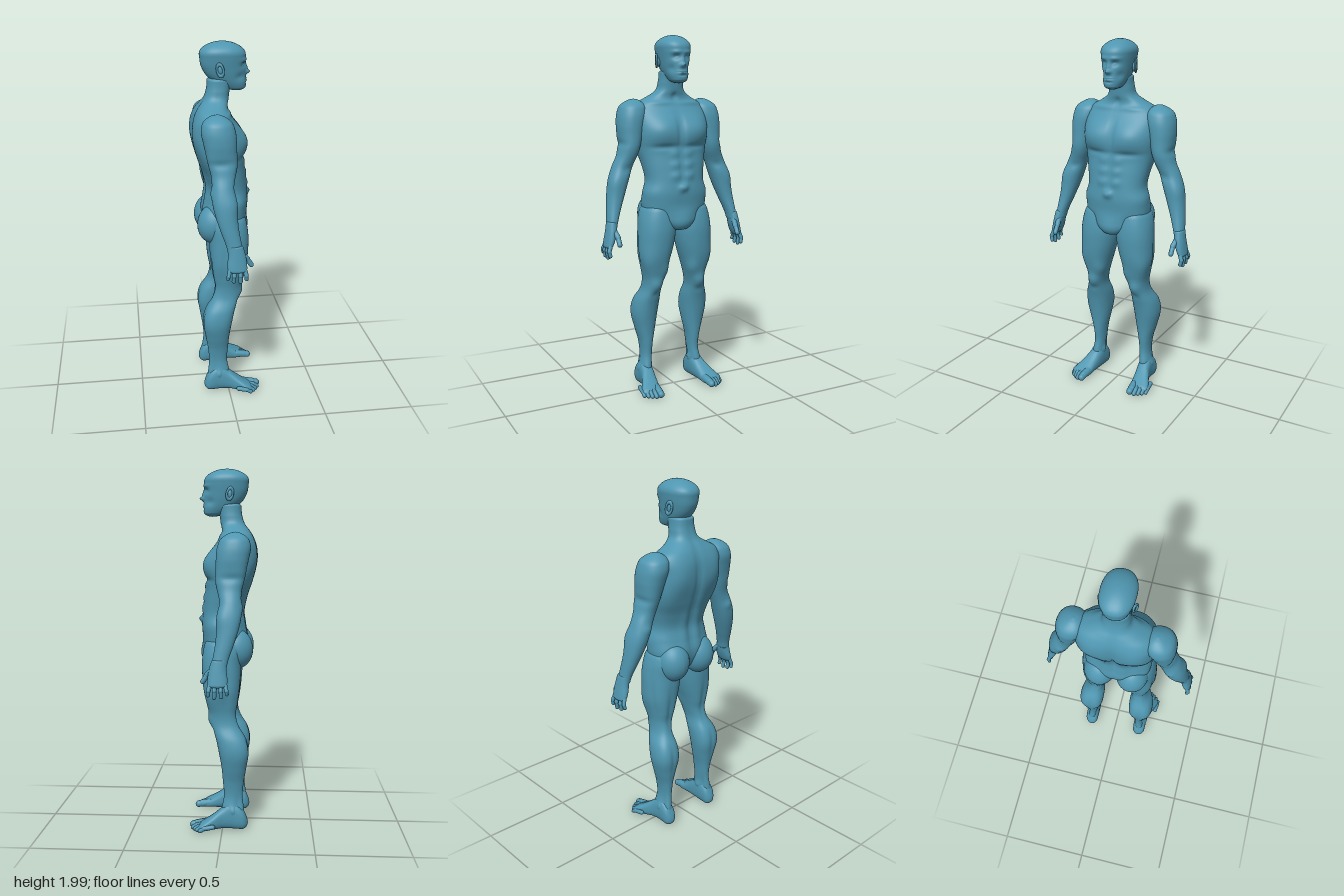
import * as THREE from 'three';
import { mergeGeometries } from 'three/addons/utils/BufferGeometryUtils.js';

const skin = new THREE.MeshStandardMaterial({ color: 0x4f96b0 });
skin.name = 'blue clay';

// Smooth loft. Each row is [along, aMin, aMax, bMin, bMax].
// axis 'y': a = x, b = z.  axis 'x': a = z, b = y.  caps = rounding length at both ends.
function loft(rows, { axis = 'y', n = 2.2, caps = [0.02, 0.02], segs = 56, steps = 70 } = {}) {
  const spline = new THREE.CubicInterpolant(rows.map(r => r[0]), rows.flatMap(r => r.slice(1)), 4);
  const t0 = rows[0][0], t1 = rows[rows.length - 1][0];
  const pos = [], idx = [];
  const sp = v => Math.sign(v) * Math.abs(v) ** (2 / n);
  const round = (d, r) => (d >= r ? 1 : Math.sqrt(Math.max(1e-6, 1 - (1 - d / r) ** 2)));
  for (let i = 0; i <= steps; i++) {
    const u = i / steps;
    const t = t0 + (t1 - t0) * (0.5 * u + 0.25 * (1 - Math.cos(Math.PI * u)));
    const [a0, a1, b0, b1] = spline.evaluate(t);
    const s = round(t - t0, caps[0]) * round(t1 - t, caps[1]);
    for (let j = 0; j < segs; j++) {
      const q = (j / segs) * Math.PI * 2;
      const a = (a0 + a1) / 2 + ((a1 - a0) / 2) * s * sp(Math.cos(q));
      const b = (b0 + b1) / 2 + ((b1 - b0) / 2) * s * sp(Math.sin(q));
      if (axis === 'y') pos.push(a, t, b); else pos.push(t, b, a);
      if (i < steps) {
        const p = i * segs + j, r = i * segs + (j + 1) % segs;
        idx.push(p, p + segs, r, r, p + segs, r + segs);
      }
    }
  }
  const g = new THREE.BufferGeometry();
  g.setAttribute('position', new THREE.Float32BufferAttribute(pos, 3));
  g.setIndex(idx);
  g.computeVertexNormals();
  return g;
}

// Push the surface in or out with soft bumps [x, y, z, rx, ry, rz, amount], same on both sides of z.
function sculpt(g, bumps) {
  const p = g.attributes.position, nrm = g.attributes.normal;
  for (let i = 0; i < p.count; i++) {
    const x = p.getX(i), y = p.getY(i), z = p.getZ(i);
    let d = 0;
    for (const [bx, by, bz, rx, ry, rz, amt] of bumps) {
      d += amt * Math.exp(-(((x - bx) / rx) ** 2) - ((y - by) / ry) ** 2 - ((Math.abs(z) - bz) / rz) ** 2);
    }
    p.setXYZ(i, x + nrm.getX(i) * d, y + nrm.getY(i) * d, z + nrm.getZ(i) * d);
  }
  g.computeVertexNormals();
  return g;
}

function mirrored(g) {
  const m = g.clone(), p = m.attributes.position, ix = m.index;
  for (let i = 0; i < p.count; i++) p.setZ(i, -p.getZ(i));
  for (let i = 0; i < ix.count; i += 3) {
    const a = ix.getX(i);
    ix.setX(i, ix.getX(i + 1));
    ix.setX(i + 1, a);
  }
  m.computeVertexNormals();
  return m;
}

function ellipsoid(x, y, z, rx, ry, rz, tilt = 0) {
  return new THREE.SphereGeometry(1, 32, 24).scale(rx, ry, rz).rotateZ(tilt).translate(x, y, z);
}

// Chain of capsules through points, for fingers and toes
function digit(radius, ...points) {
  const v = points.map(p => new THREE.Vector3(...p));
  return mergeGeometries(v.slice(1).map((b, i) => {
    const d = b.clone().sub(v[i]), r = radius * (1 - 0.1 * i);
    const q = new THREE.Quaternion().setFromUnitVectors(new THREE.Vector3(0, 1, 0), d.clone().normalize());
    return new THREE.CapsuleGeometry(r, d.length(), 6, 14).applyQuaternion(q)
      .translate(...v[i].clone().add(b).multiplyScalar(0.5).toArray());
  }));
}

export function createModel() {
  const body = new THREE.Group();
  body.name = 'body';
  const add = (name, g) => {
    const m = new THREE.Mesh(g, skin);
    m.name = name;
    body.add(m);
  };
  const pair = (name, g) => {
    add(name + 'Right', g);
    add(name + 'Left', mirrored(g));
  };
  const symmetric = rows => rows.map(([y, back, front, w]) => [y, back, front, -w, w]);

  // Torso and neck, from crotch to skull
  const torso = loft(symmetric([
    [0.935, -0.04, 0.095, 0.04], [0.97, -0.09, 0.115, 0.1], [1.02, -0.12, 0.118, 0.17],
    [1.08, -0.13, 0.117, 0.186], [1.15, -0.115, 0.122, 0.178], [1.22, -0.105, 0.116, 0.168],
    [1.3, -0.125, 0.106, 0.18], [1.38, -0.155, 0.095, 0.197], [1.46, -0.175, 0.1, 0.21],
    [1.54, -0.178, 0.078, 0.215], [1.6, -0.172, 0.042, 0.21], [1.64, -0.158, 0.018, 0.18],
    [1.67, -0.14, 0.012, 0.125], [1.7, -0.118, 0.018, 0.082], [1.75, -0.1, 0.025, 0.068],
    [1.82, -0.095, 0.04, 0.064],
  ]), { n: 2.4, segs: 88, steps: 130 });
  const abs = [1.365, 1.305, 1.245].map(y => [0.11, y, 0.04, 0.05, 0.024, 0.028, 0.009]);
  add('torso', sculpt(torso, [
    ...abs,
    [0.09, 1.49, 0.1, 0.08, 0.065, 0.085, 0.022],    // chest
    [0.1, 1.402, 0.1, 0.06, 0.014, 0.08, -0.009],    // fold under chest
    [0.1, 1.49, 0, 0.07, 0.09, 0.014, -0.014],       // breastbone
    [0.11, 1.28, 0, 0.05, 0.11, 0.01, -0.006],       // belly midline
    [0.12, 1.18, 0, 0.04, 0.022, 0.022, 0.022],      // navel
    [0.03, 1.15, 0.17, 0.07, 0.04, 0.05, 0.009],     // flanks
    [0.1, 1.03, 0.12, 0.05, 0.03, 0.04, -0.008],     // groin lines
    [0.11, 0.99, 0, 0.05, 0.05, 0.05, 0.012],        // pubis
    [-0.17, 1.38, 0, 0.08, 0.28, 0.02, -0.016],      // spine
    [-0.17, 1.53, 0.12, 0.06, 0.09, 0.07, 0.016],    // shoulder blades
    [-0.12, 1.42, 0.18, 0.08, 0.1, 0.06, 0.01],      // back muscles
    [-0.11, 1.2, 0.045, 0.05, 0.12, 0.03, 0.01],     // lower back
    [0.02, 1.635, 0.1, 0.04, 0.012, 0.09, 0.008],    // collarbones
    [0.02, 1.67, 0, 0.03, 0.02, 0.015, -0.01],       // throat pit
  ]));

  // Head with face
  const head = loft(symmetric([
    [1.742, 0.02, 0.107, 0.036], [1.78, -0.045, 0.114, 0.054], [1.82, -0.095, 0.111, 0.066],
    [1.87, -0.125, 0.109, 0.076], [1.92, -0.134, 0.11, 0.084], [1.96, -0.137, 0.108, 0.088],
    [2.0, -0.13, 0.1, 0.082],
  ]), { n: 2.3, caps: [0.02, 0.07], segs: 80, steps: 90 });
  add('head', sculpt(head, [
    [0.1, 1.88, 0.033, 0.04, 0.014, 0.02, -0.014],   // eye sockets
    [0.1, 1.907, 0.03, 0.04, 0.01, 0.03, 0.005],     // brow
    [0.105, 1.877, 0.033, 0.02, 0.007, 0.011, 0.006], // eyes
    [0.115, 1.86, 0, 0.05, 0.025, 0.01, 0.012],      // nose bridge
    [0.115, 1.838, 0, 0.05, 0.011, 0.014, 0.02],     // nose tip
    [0.11, 1.8, 0, 0.04, 0.009, 0.022, 0.006],       // lips
    [0.11, 1.801, 0, 0.04, 0.003, 0.024, -0.006],    // mouth
    [0.11, 1.784, 0, 0.04, 0.006, 0.02, -0.005],     // under lip
    [0.08, 1.82, 0.055, 0.03, 0.02, 0.02, -0.006],   // cheeks
  ]));
  pair('ear', mergeGeometries([
    new THREE.TorusGeometry(0.017, 0.006, 10, 28).scale(1, 1.75, 1).rotateZ(0.2).rotateY(-0.35).translate(-0.035, 1.862, 0.086),
    ellipsoid(-0.032, 1.858, 0.078, 0.016, 0.028, 0.01, 0.2),
  ]));

  // Legs
  const leg = loft([
    [0.05, -0.125, 0, 0.128, 0.195], [0.12, -0.12, 0.005, 0.127, 0.195], [0.2, -0.112, -0.008, 0.122, 0.183],
    [0.28, -0.118, -0.002, 0.115, 0.19], [0.36, -0.132, 0.005, 0.1, 0.211], [0.45, -0.142, 0.02, 0.088, 0.228],
    [0.53, -0.126, 0.038, 0.083, 0.219], [0.6, -0.09, 0.062, 0.088, 0.19], [0.66, -0.078, 0.072, 0.076, 0.186],
    [0.72, -0.088, 0.088, 0.06, 0.196], [0.8, -0.096, 0.106, 0.034, 0.215], [0.88, -0.1, 0.114, 0.014, 0.218],
    [0.95, -0.102, 0.116, 0.006, 0.215], [1.02, -0.11, 0.108, 0.012, 0.205], [1.11, -0.1, 0.085, 0.04, 0.175],
  ], { caps: [0.02, 0.06], steps: 110 });
  pair('leg', sculpt(leg, [
    [0.07, 0.635, 0.135, 0.03, 0.035, 0.032, 0.012],   // kneecap
    [0.06, 0.575, 0.135, 0.03, 0.02, 0.03, -0.006],    // under knee
    [0.07, 0.71, 0.085, 0.05, 0.05, 0.03, 0.011],      // inner thigh muscle
    [0.07, 0.75, 0.19, 0.05, 0.07, 0.035, 0.008],      // outer thigh muscle
    [-0.09, 0.72, 0.13, 0.04, 0.13, 0.02, -0.01],      // hamstring groove
    [-0.03, 0.82, 0.22, 0.02, 0.14, 0.03, -0.008],     // side groove
    [-0.12, 0.46, 0.11, 0.05, 0.08, 0.035, 0.01],      // inner calf
    [-0.12, 0.48, 0.2, 0.05, 0.08, 0.035, 0.008],      // outer calf
    [-0.14, 0.44, 0.155, 0.04, 0.08, 0.012, -0.005],   // calf split
    [-0.06, 0.12, 0.197, 0.02, 0.022, 0.02, 0.009],    // outer ankle bone
    [-0.05, 0.135, 0.125, 0.02, 0.022, 0.02, 0.009],   // inner ankle bone
    [-0.09, 0.16, 0.195, 0.02, 0.06, 0.02, -0.008],    // heel tendon hollows
    [-0.09, 0.16, 0.12, 0.02, 0.06, 0.02, -0.008],
  ]));
  pair('buttock', ellipsoid(-0.07, 1.025, 0.093, 0.094, 0.112, 0.09, -0.15));

  // Feet and toes
  pair('foot', loft([
    [-0.142, 0.13, 0.192, 0.014, 0.085], [-0.1, 0.124, 0.2, 0.012, 0.14], [-0.05, 0.123, 0.2, 0.014, 0.165],
    [0, 0.126, 0.207, 0.016, 0.135], [0.05, 0.132, 0.228, 0.014, 0.098], [0.1, 0.137, 0.248, 0.012, 0.066],
    [0.14, 0.145, 0.245, 0.012, 0.045],
  ], { axis: 'x', n: 2.5, caps: [0.03, 0.03] }));
  const toes = [[0.163, 0.163, 0.022], [0.19, 0.164, 0.014], [0.21, 0.152, 0.013], [0.228, 0.138, 0.013], [0.244, 0.12, 0.013]];
  toes.forEach(([z, tip, r], i) =>
    pair('toe' + (i + 1), digit(r, [tip - 0.07, 0.045, z - 0.005], [tip - 0.022, 0.037, z], [tip, r + 0.01, z])));

  // Arms from wrist to shoulder
  const arm = loft([
    [0.95, -0.032, 0.045, 0.358, 0.411], [1.0, -0.042, 0.04, 0.346, 0.404], [1.08, -0.07, 0.027, 0.316, 0.395],
    [1.16, -0.095, 0.02, 0.285, 0.384], [1.23, -0.108, 0.018, 0.26, 0.37], [1.3, -0.105, 0.01, 0.235, 0.346],
    [1.36, -0.105, 0.018, 0.21, 0.319], [1.44, -0.12, 0.027, 0.185, 0.306], [1.52, -0.143, 0.03, 0.165, 0.31],
    [1.58, -0.153, 0.024, 0.15, 0.304], [1.63, -0.14, 0.005, 0.15, 0.285], [1.66, -0.125, -0.015, 0.16, 0.26],
  ], { caps: [0.02, 0.05], steps: 100 });
  pair('arm', sculpt(arm, [
    [-0.06, 1.42, 0.31, 0.08, 0.02, 0.04, -0.009],    // below shoulder muscle
    [0.02, 1.4, 0.25, 0.04, 0.06, 0.05, 0.009],       // biceps
    [-0.11, 1.43, 0.27, 0.04, 0.07, 0.05, 0.01],      // triceps
    [0, 1.215, 0.36, 0.04, 0.06, 0.04, 0.008],        // forearm muscle
    [0.015, 1.285, 0.28, 0.03, 0.02, 0.03, -0.006],   // elbow crease
    [-0.11, 1.27, 0.3, 0.02, 0.025, 0.025, 0.008],    // elbow
  ]));

  // Hands
  pair('palm', loft([
    [0.862, -0.036, 0.062, 0.394, 0.43], [0.9, -0.04, 0.064, 0.376, 0.424],
    [0.95, -0.035, 0.058, 0.361, 0.416], [1.01, -0.034, 0.042, 0.356, 0.406],
  ], { caps: [0.018, 0.01], segs: 40, steps: 40 }));
  const fingers = [[-0.026, -0.038, 0.822, 0.011], [-0.002, -0.008, 0.806, 0.0125], [0.024, 0.028, 0.802, 0.0125], [0.048, 0.06, 0.815, 0.012]];
  fingers.forEach(([base, tip, y, r], i) =>
    pair('finger' + (i + 1), digit(r, [base, 0.89, 0.404], [(base + tip) / 2 + (tip - base) * 0.3, 0.85, 0.418], [tip, y + r, 0.413])));
  pair('thumb', digit(0.015, [0.03, 0.965, 0.38], [0.068, 0.925, 0.37], [0.09, 0.89, 0.37]));

  return body;
}
